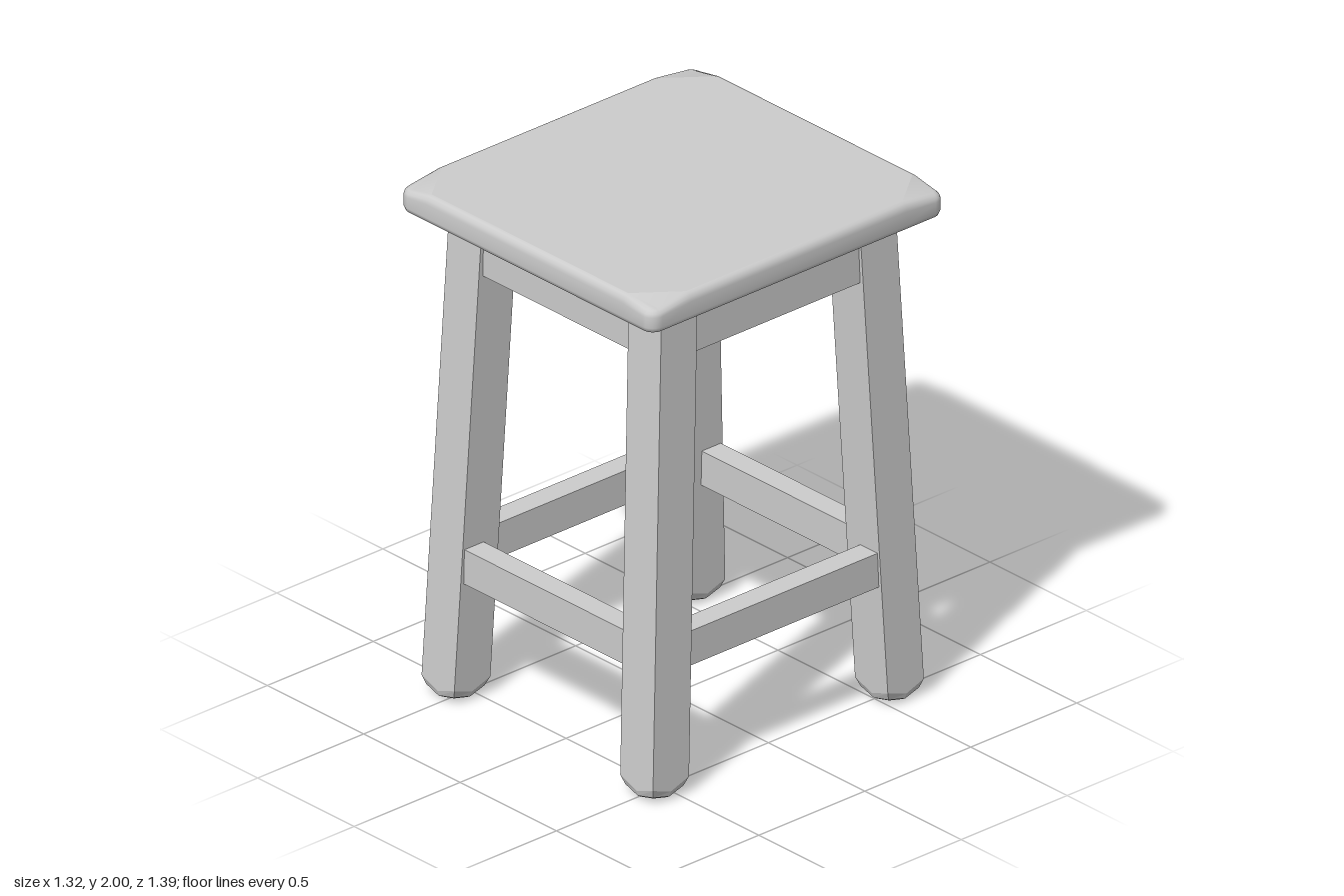
import * as THREE from 'three';

const grey = new THREE.MeshStandardMaterial({ color: 0xcccccc });
grey.name = 'plain grey';

// Joins equal rings of points (listed bottom to top, running from +x towards -z) and returns the index list
function bandIndex(rings, n) {
  const index = [];
  for (let r = 0; r < rings - 1; r++) {
    for (let i = 0; i < n; i++) {
      const a = r * n + i, b = r * n + (i + 1) % n;
      index.push(a, b, b + n, a, b + n, a + n);
    }
  }
  return index;
}

function geometryFrom(points, index) {
  const g = new THREE.BufferGeometry();
  g.setAttribute('position', new THREE.Float32BufferAttribute(points.flat(), 3));
  g.setIndex(index);
  return g;
}

// Seat: rounded slab whose four corners dip a little below the flat top
function seatGeometry() {
  const W = 0.66, D = 0.695, R = 0.05, STEPS = 6, n = 4 * (STEPS + 3);
  const outline = (inset) => {
    const pts = [];
    for (let q = 0; q < 4; q++) {
      const sx = q === 0 || q === 3 ? 1 : -1, sz = q < 2 ? -1 : 1;
      const corner = [{ x: W - inset, z: 0.51, dip: 0 }];
      for (let i = 0; i <= STEPS; i++) {
        const a = (i / STEPS) * Math.PI / 2;
        corner.push({
          x: W - R + (R - inset) * Math.cos(a),
          z: D - R + (R - inset) * Math.sin(a),
          dip: 1,
        });
      }
      corner.push({ x: 0.51, z: D - inset, dip: 0 });
      if (q % 2) corner.reverse();
      pts.push(...corner.map((p) => ({ x: sx * p.x, z: sz * p.z, dip: p.dip })));
    }
    return pts;
  };
  // [inset, height, corner dip] up the edge
  const layers = [[0.025, 1.89, 0], [0.008, 1.897, 0], [0, 1.915, 0], [0, 1.968, 0.012],
    [0.004, 1.984, 0.016], [0.013, 1.996, 0.018], [0.025, 2, 0.018]];
  const points = [];
  for (const [inset, y, dip] of layers) {
    for (const p of outline(inset)) points.push([p.x, y - dip * p.dip, p.z]);
  }
  const index = bandIndex(layers.length, n);
  // dipped corner patches
  const last = (layers.length - 1) * n, per = STEPS + 3;
  for (let q = 0; q < 4; q++) {
    const s = last + q * per;
    for (let i = 1; i < per - 1; i++) index.push(s, s + i, s + i + 1);
  }
  // flat top and underside, with their own points for a crisp edge
  const top = [];
  for (let q = 0; q < 4; q++) top.push(points[last + q * per], points[last + q * per + per - 1]);
  const t = points.length;
  points.push([0, 2, 0], ...top);
  for (let i = 0; i < 8; i++) index.push(t, t + 1 + i, t + 1 + (i + 1) % 8);
  const b = points.length;
  points.push([0, 1.89, 0], ...points.slice(0, n));
  for (let i = 0; i < n; i++) index.push(b, b + 1 + (i + 1) % n, b + 1 + i);
  const g = geometryFrom(points, index);
  g.computeVertexNormals();
  return g;
}

// Leg: splayed square post with a softened foot
function legGeometry(foot, head) {
  const H = 0.085;
  // [half width at corners, half width at middles, corner y, middle y]
  const layers = [[0.05, 0.062, 0.012, 0.005], [0.072, 0.078, 0.03, 0.014],
    [H, H, 0.065, 0.035], [H, H, 1.9, 1.9]];
  const dirs = [[1, 0], [1, -1], [0, -1], [-1, -1], [-1, 0], [-1, 1], [0, 1], [1, 1]];
  const points = [];
  for (const [hc, hm, yc, ym] of layers) {
    dirs.forEach(([dx, dz], i) => {
      const h = i % 2 ? hc : hm, y = i % 2 ? yc : ym, k = y / 1.9;
      points.push([
        foot[0] + (head[0] - foot[0]) * k + dx * h, y,
        foot[1] + (head[1] - foot[1]) * k + dz * h,
      ]);
    });
  }
  const index = bandIndex(layers.length, 8);
  const c = points.length;
  points.push([foot[0], 0, foot[1]]);
  for (let i = 0; i < 8; i++) index.push(c, (i + 1) % 8, i);
  const g = geometryFrom(points, index).toNonIndexed();
  g.computeVertexNormals();
  return g;
}

export function createModel() {
  const model = new THREE.Group();
  model.name = 'stool';
  const add = (name, geometry, x = 0, y = 0, z = 0) => {
    const mesh = new THREE.Mesh(geometry, grey);
    mesh.name = name;
    mesh.position.set(x, y, z);
    model.add(mesh);
  };

  add('seat', seatGeometry());

  // Legs, set very slightly off centre
  const OX = -0.004, OZ = -0.007;
  for (const sx of [1, -1]) {
    for (const sz of [1, -1]) {
      const name = (sz > 0 ? 'front' : 'back') + (sx > 0 ? 'Left' : 'Right') + 'Leg';
      add(name, legGeometry([sx * 0.517 + OX, sz * 0.557 + OZ], [sx * 0.465 + OX, sz * 0.468 + OZ]));
    }
  }

  // Aprons under the seat and rungs lower down, one on each side
  const rails = [
    { name: 'Apron', y: 1.785, h: 0.21, x: 0.495, z: 0.5, lx: 0.9, lz: 0.9 },
    { name: 'Rung', y: 0.547, h: 0.135, x: 0.53, z: 0.56, lx: 0.95, lz: 0.98 },
  ];
  for (const r of rails) {
    for (const s of [1, -1]) {
      add((s > 0 ? 'front' : 'back') + r.name, new THREE.BoxGeometry(r.lx, r.h, 0.09), OX, r.y, s * r.z + OZ);
      add((s > 0 ? 'left' : 'right') + r.name, new THREE.BoxGeometry(0.09, r.h, r.lz), s * r.x + OX, r.y, OZ);
    }
  }
  return model;
}
